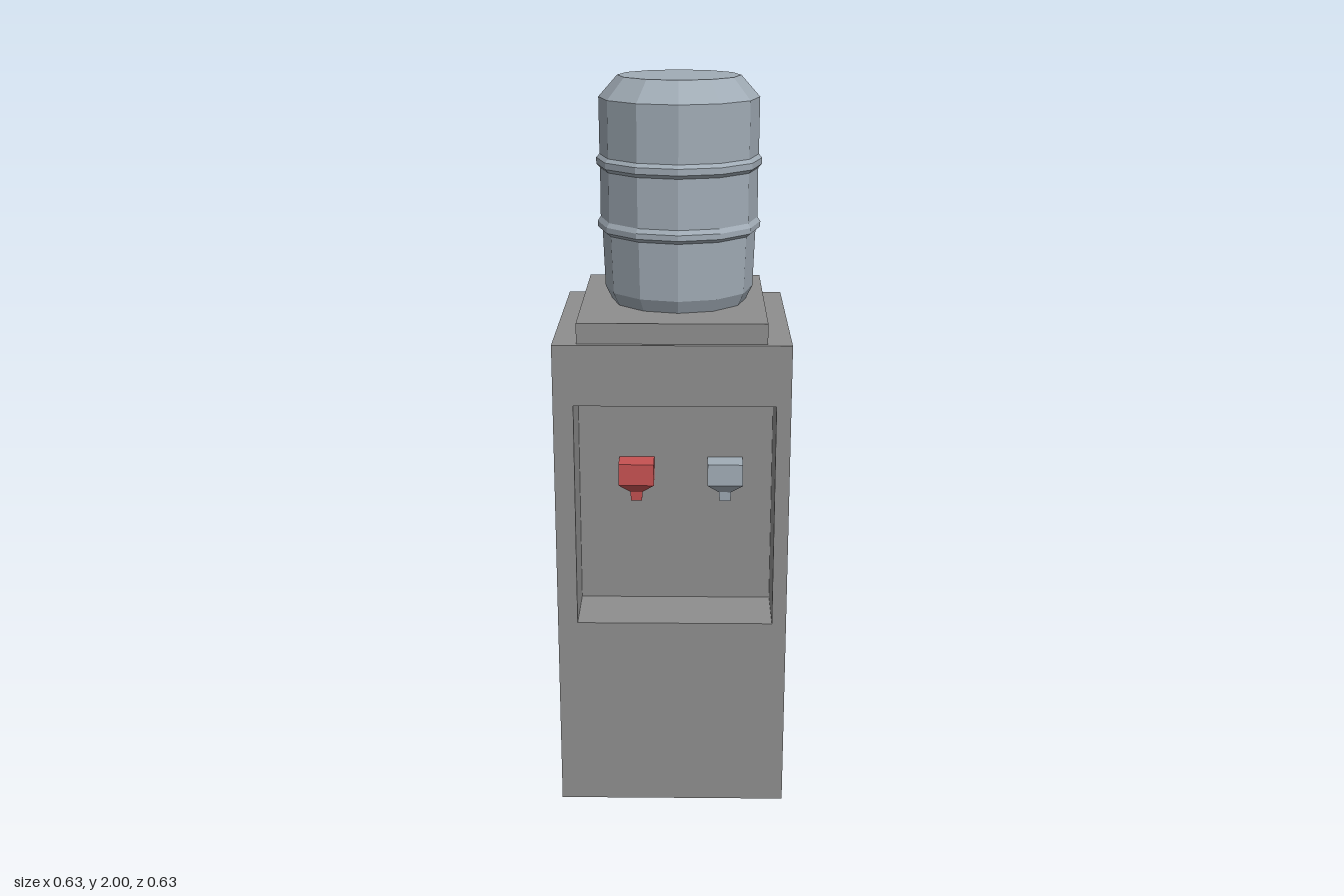
import * as THREE from 'three';

function material(name, color, flatShading = true) {
  const m = new THREE.MeshStandardMaterial({ color, flatShading });
  m.name = name;
  return m;
}

function add(parent, name, geometry, mat, x = 0, y = 0, z = 0) {
  const mesh = new THREE.Mesh(geometry, mat);
  mesh.name = name;
  mesh.position.set(x, y, z);
  parent.add(mesh);
  return mesh;
}

// Rectangular loft: each level is [y, width, depth], from bottom to top
function loftGeometry(levels) {
  const pos = [], index = [];
  for (const [y, w, d] of levels) {
    pos.push(-w / 2, y, d / 2, w / 2, y, d / 2, w / 2, y, -d / 2, -w / 2, y, -d / 2);
  }
  const top = (levels.length - 1) * 4;
  for (let l = 0; l < top; l += 4) {
    for (let i = 0; i < 4; i++) {
      const a = l + i, b = l + (i + 1) % 4;
      index.push(a, b, b + 4, a, b + 4, a + 4);
    }
  }
  index.push(0, 2, 1, 0, 3, 2, top, top + 1, top + 2, top, top + 2, top + 3);
  const g = new THREE.BufferGeometry();
  g.setAttribute('position', new THREE.Float32BufferAttribute(pos, 3));
  g.setIndex(index);
  const flat = g.toNonIndexed();
  flat.computeVertexNormals();
  return flat;
}

export function createModel() {
  const group = new THREE.Group();
  group.name = 'waterCooler';
  const grey = material('cabinet grey', 0x8e8e8e);
  const blue = material('water blue', 0xa1acb6);
  const red = material('hot tap red', 0xc65252);

  // Cabinet: solid rear and a front frame around the dispensing niche
  const half = 0.314, height = 1.34, nicheZ = 0.137;
  const rearDepth = nicheZ + half;
  add(group, 'cabinetRear', new THREE.BoxGeometry(half * 2, height, rearDepth), grey,
    0, height / 2, -half + rearDepth / 2);

  const frame = new THREE.Shape([
    new THREE.Vector2(-half, 0), new THREE.Vector2(half, 0),
    new THREE.Vector2(half, height), new THREE.Vector2(-half, height),
  ]);
  frame.holes.push(new THREE.Path([
    new THREE.Vector2(-0.26, 0.55), new THREE.Vector2(-0.26, 1.175),
    new THREE.Vector2(0.275, 1.175), new THREE.Vector2(0.275, 0.55),
  ]));
  add(group, 'cabinetFrontFrame',
    new THREE.ExtrudeGeometry(frame, { depth: half - nicheZ, bevelEnabled: false }),
    grey, 0, 0, nicheZ);

  // Raised plate under the bottle
  add(group, 'topPlate', new THREE.BoxGeometry(0.5, 0.055, 0.6), grey, 0, height + 0.0275, 0);

  // Taps with a narrow spout
  const tap = loftGeometry([
    [0.862, 0.03, 0.026], [0.888, 0.034, 0.03], [0.913, 0.097, 0.068], [0.974, 0.097, 0.068],
  ]);
  add(group, 'hotTap', tap, red, -0.1, 0, nicheZ + 0.034);
  add(group, 'coldTap', tap, blue, 0.145, 0, nicheZ + 0.034);

  // Twelve-sided bottle with two ribs
  const profile = [
    [0, 1.393], [0.185, 1.393], [0.203, 1.43], [0.209, 1.585],
    [0.222, 1.595], [0.222, 1.61], [0.214, 1.622], [0.214, 1.755],
    [0.224, 1.765], [0.224, 1.782], [0.215, 1.792], [0.216, 1.943],
    [0.165, 2], [0, 2],
  ].map(([r, y]) => new THREE.Vector2(r, y));
  add(group, 'bottle', new THREE.LatheGeometry(profile, 12), blue, 0.015, 0, 0);

  return group;
}
